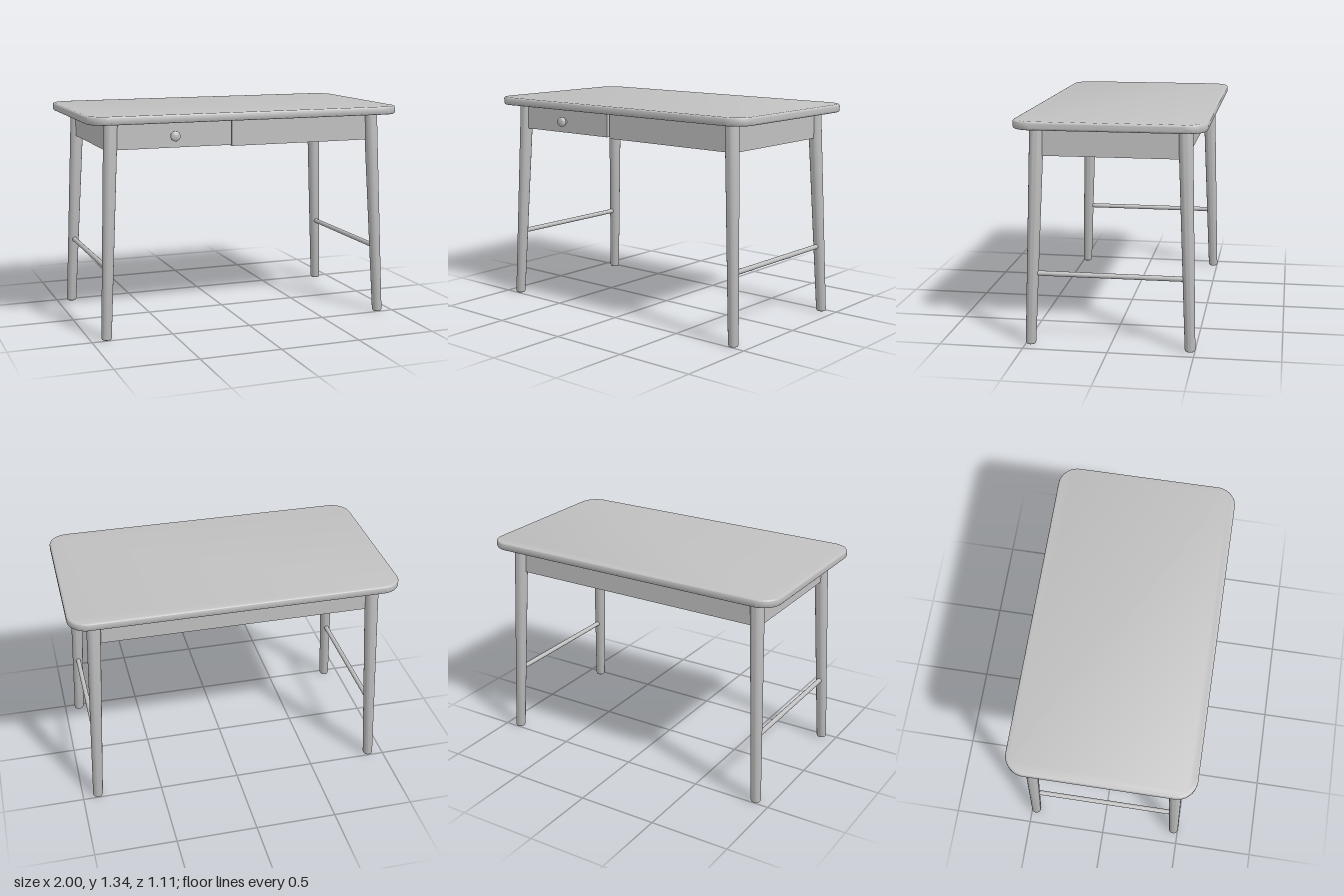
import * as THREE from 'three';
import { toCreasedNormals } from 'three/addons/utils/BufferGeometryUtils.js';

const grey = new THREE.MeshStandardMaterial({ color: 0xc0c0c0 });
grey.name = 'light grey';

const TOP_Y = 1.285; // underside of the tabletop

export function createModel() {
  const desk = new THREE.Group();
  desk.name = 'desk';

  const add = (name, geometry, x = 0, y = 0, z = 0) => {
    const mesh = new THREE.Mesh(geometry, grey);
    mesh.name = name;
    mesh.position.set(x, y, z);
    desk.add(mesh);
    return mesh;
  };
  // box given by its limits on each axis
  const addBox = (name, x0, x1, y0, y1, z0, z1) =>
    add(name, new THREE.BoxGeometry(x1 - x0, y1 - y0, z1 - z0),
      (x0 + x1) / 2, (y0 + y1) / 2, (z0 + z1) / 2);
  const lathe = (points, segments) => toCreasedNormals(
    new THREE.LatheGeometry(points.map(p => new THREE.Vector2(...p)), segments), 0.7);

  // Tabletop: rounded rectangle with softened edges
  const bevel = 0.014, w = 1 - bevel, d = 0.555 - bevel, r = 0.12 - bevel;
  const outline = new THREE.Shape();
  outline.absarc(w - r, d - r, r, 0, Math.PI / 2);
  outline.absarc(-w + r, d - r, r, Math.PI / 2, Math.PI);
  outline.absarc(-w + r, -d + r, r, Math.PI, Math.PI * 1.5);
  outline.absarc(w - r, -d + r, r, Math.PI * 1.5, Math.PI * 2);
  outline.closePath();
  const topGeometry = new THREE.ExtrudeGeometry(outline, {
    depth: 0.05 - 2 * bevel, bevelSize: bevel, bevelThickness: bevel,
    bevelSegments: 5, curveSegments: 14,
  });
  topGeometry.rotateX(-Math.PI / 2);
  add('tabletop', toCreasedNormals(topGeometry, 0.6), 0, TOP_Y + bevel, 0);

  // Tapered legs, splayed outwards by a shear
  const legProfile = [[0, 0], [0.023, 0], [0.028, 0.003], [0.031, 0.012], [0.042, TOP_Y], [0, TOP_Y]];
  for (const sx of [1, -1]) {
    for (const sz of [1, -1]) {
      const leg = lathe(legProfile, 32);
      leg.applyMatrix4(new THREE.Matrix4().set(
        1, -sx * 0.06 / TOP_Y, 0, sx * 0.905,
        0, 1, 0, 0,
        0, -sz * 0.045 / TOP_Y, 1, sz * 0.472,
        0, 0, 0, 1));
      add(`${sz > 0 ? 'front' : 'back'}${sx > 0 ? 'Left' : 'Right'}Leg`, leg);
    }
  }

  // Side rails and stretchers
  for (const sx of [1, -1]) {
    const side = sx > 0 ? 'left' : 'right';
    add(side + 'Apron', new THREE.BoxGeometry(0.03, TOP_Y - 1.12, 0.82), sx * 0.85, (TOP_Y + 1.12) / 2, 0);
    const rod = new THREE.CylinderGeometry(0.015, 0.015, 0.9, 20);
    rod.rotateX(Math.PI / 2);
    add(side + 'Stretcher', rod, sx * 0.885, 0.427, 0);
  }

  // Back apron, and the front apron beside the drawer
  addBox('backApron', -0.83, 0.83, 1.12, TOP_Y, -0.435, -0.405);
  addBox('frontApron', -0.093, 0.83, 1.12, TOP_Y, 0.405, 0.435);

  // Drawer front with a round knob
  addBox('drawerFront', -0.815, -0.103, 1.129, 1.276, 0.41, 0.448);
  const knob = lathe([
    [0.014, 0], [0.014, 0.018], [0.022, 0.02], [0.028, 0.024], [0.03, 0.03],
    [0.03, 0.04], [0.028, 0.046], [0.022, 0.05], [0, 0.052],
  ], 28);
  knob.rotateX(Math.PI / 2);
  add('drawerKnob', knob, -0.467, 1.2, 0.446);

  return desk;
}
